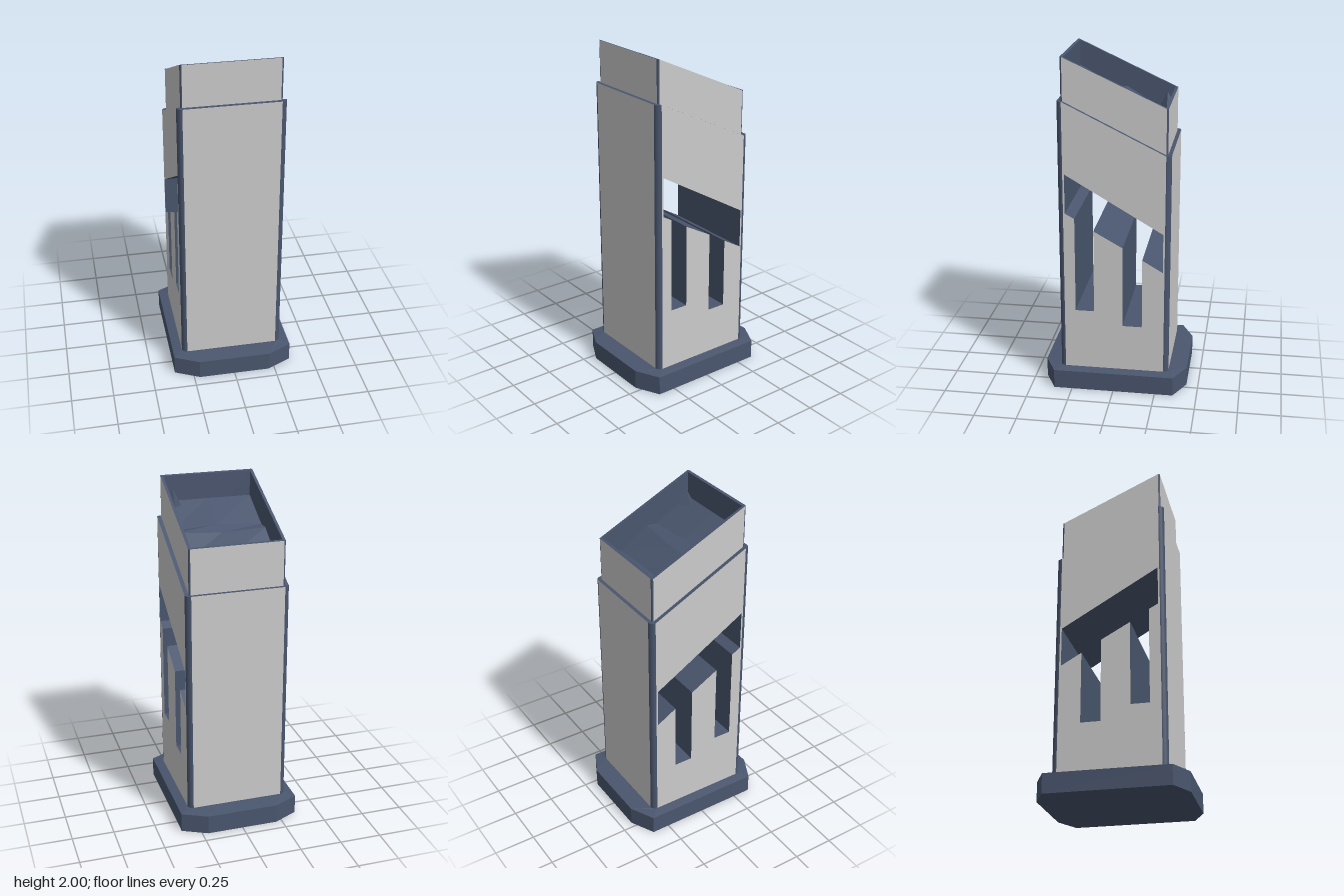
import * as THREE from 'three';

const grey = new THREE.MeshStandardMaterial({ color: 0xcccccc });
const slate = new THREE.MeshStandardMaterial({ color: 0x4a566e });
const slateFlat = new THREE.MeshStandardMaterial({ color: 0x4a566e, flatShading: true, side: THREE.DoubleSide });

// Sloping top edges, level at the very front and back
const clampZ = (z) => THREE.MathUtils.clamp(z, -0.295, 0.295);
const bodyTop = (z) => 1.61 + 0.49 * clampZ(z);
const sleeveTop = (z) => 1.865 + 0.46 * clampZ(z);

function addMesh(group, name, geometry, material) {
  const mesh = new THREE.Mesh(geometry, material);
  mesh.name = name;
  group.add(mesh);
  return mesh;
}

// Stretch a unit-high geometry from y0 up to a sloping top
function slant(geometry, y0, topFn) {
  const p = geometry.attributes.position;
  for (let i = 0; i < p.count; i++) p.setY(i, p.getY(i) > 0 ? topFn(p.getZ(i)) : y0);
  return geometry;
}

// Upright slab, grey on one outward side only (box face index)
function slab(group, name, w, d, x, z, y0, topFn, greyFace) {
  const g = slant(new THREE.BoxGeometry(w, 1, d).translate(x, 0, z), y0, topFn);
  g.computeVertexNormals();
  addMesh(group, name, g, [0, 1, 2, 3, 4, 5].map((i) => (i === greyFace ? grey : slate)));
}

// Four quarter-round corner posts
function cornerPosts(group, name, x, z, r, y0, topFn) {
  for (let k = 0; k < 4; k++) {
    const g = new THREE.CylinderGeometry(r, r, 1, 5, 1, false, 0, Math.PI / 2);
    g.rotateY((k * Math.PI) / 2);
    g.translate(k < 2 ? x : -x, 0, k === 0 || k === 3 ? z : -z);
    addMesh(group, name, slant(g, y0, topFn), slate);
  }
}

// Octagonal plinth lofted through rings of [half x, half z, cut x, cut z, y]
function plinth() {
  const rings = [
    [0.36, 0.43, 0.145, 0.072, 0],
    [0.36, 0.43, 0.145, 0.072, 0.115],
    [0.31, 0.335, 0.03, 0.03, 0.125],
  ];
  const pos = [];
  const idx = [];
  for (const [a, b, c, d, y] of rings) {
    const ring = [[a, b - d], [a, d - b], [a - c, -b], [c - a, -b], [-a, d - b], [-a, b - d], [c - a, b], [a - c, b]];
    for (const [x, z] of ring) pos.push(x, y, z);
  }
  for (let r = 0; r < 2; r++) {
    for (let i = 0; i < 8; i++) {
      const a = r * 8 + i, b = r * 8 + ((i + 1) % 8);
      idx.push(a, b, b + 8, a, b + 8, a + 8);
    }
  }
  for (let i = 1; i < 7; i++) idx.push(0, i + 1, i, 16, 16 + i, 17 + i);
  const g = new THREE.BufferGeometry();
  g.setAttribute('position', new THREE.Float32BufferAttribute(pos, 3));
  g.setIndex(idx);
  const flat = g.toNonIndexed();
  flat.computeVertexNormals();
  return flat;
}

// Core block with the stepped opening cut right through from side to side
function core() {
  const pts = (list) => list.map(([z, y]) => new THREE.Vector2(-z, y));
  const shape = new THREE.Shape(pts([
    [0.295, 0.12], [-0.295, 0.12], [-0.295, bodyTop(-0.295)], [0.295, bodyTop(0.295)],
  ]));
  shape.holes.push(new THREE.Path(pts([
    [0.285, 1.335], [-0.285, 1.0], [-0.285, 0.765], [-0.165, 0.835], [-0.165, 0.41], [-0.05, 0.41],
    [-0.05, 0.905], [0.12, 1.0], [0.12, 0.495], [0.23, 0.495], [0.23, 1.07], [0.285, 1.1],
  ])));
  const g = new THREE.ExtrudeGeometry(shape, { depth: 0.61, bevelEnabled: false });
  return g.rotateY(Math.PI / 2).translate(-0.305, 0, 0);
}

// Creased floor inside the open top: depths below the rim, row by row
function trayFloor() {
  const xs = [-0.266, 0, 0.266];
  const rows = [
    [-0.288, 0.11, 0.11, 0.1],
    [-0.17, 0.17, 0.16, 0.17],
    [0, 0.14, 0.15, 0.13],
    [0.07, 0.17, 0.15, 0.17],
    [0.288, 0.15, 0.15, 0.15],
  ];
  const g = new THREE.PlaneGeometry(1, 1, 2, 4).rotateX(-Math.PI / 2);
  rows.forEach(([z, ...depths], r) => depths.forEach((d, c) => {
    g.attributes.position.setXYZ(r * 3 + c, xs[c], sleeveTop(z) - d, z);
  }));
  g.computeVertexNormals();
  return g;
}

export function createModel() {
  const model = new THREE.Group();
  model.name = 'slantedTower';

  addMesh(model, 'base', plinth(), slate);

  // Main body
  const body = new THREE.Group();
  body.name = 'body';
  addMesh(body, 'bodyCore', core(), [grey, slate]);
  slab(body, 'frontPanel', 0.55, 0.03, 0, 0.31, 0.12, bodyTop, 4);
  slab(body, 'backPanel', 0.55, 0.03, 0, -0.31, 0.12, bodyTop, 5);
  cornerPosts(body, 'bodyCorner', 0.275, 0.295, 0.03, 0.12, bodyTop);
  model.add(body);

  // Open sleeve on top
  const sleeve = new THREE.Group();
  sleeve.name = 'sleeve';
  slab(sleeve, 'sleeveFront', 0.544, 0.016, 0, 0.295, 1.4, sleeveTop, 4);
  slab(sleeve, 'sleeveBack', 0.544, 0.016, 0, -0.295, 1.4, sleeveTop, 5);
  slab(sleeve, 'sleeveLeft', 0.017, 0.586, 0.2735, 0, 1.4, sleeveTop, 0);
  slab(sleeve, 'sleeveRight', 0.017, 0.586, -0.2735, 0, 1.4, sleeveTop, 1);
  cornerPosts(sleeve, 'sleeveCorner', 0.272, 0.293, 0.01, 1.4, sleeveTop);
  model.add(sleeve);

  // Tray floor and the small peaks in two opposite corners
  addMesh(model, 'trayFloor', trayFloor(), slateFlat);
  for (const s of [1, -1]) {
    const peak = addMesh(model, 'cornerPeak', new THREE.ConeGeometry(0.05, 0.1, 4), slateFlat);
    peak.position.set(s * 0.222, sleeveTop(s * 0.245) - (s > 0 ? 0.1 : 0.09), s * 0.245);
  }
  return model;
}
